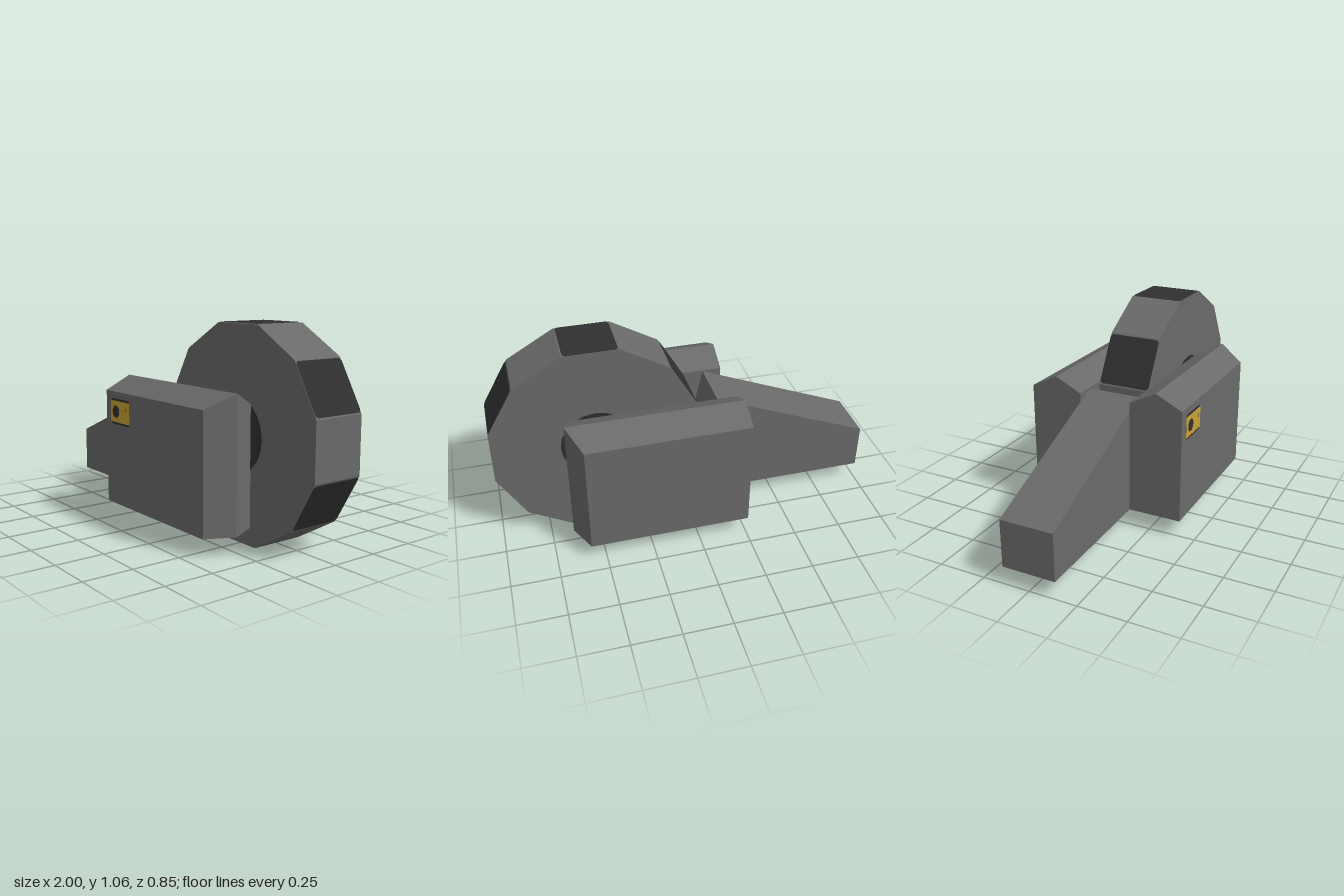
import * as THREE from 'three';

const mat = (name, color) => {
  const m = new THREE.MeshStandardMaterial({ color });
  m.name = name;
  return m;
};

// Box with a centre crease, raised along the roof and pushed out at the nose
function podGeometry() {
  const geo = new THREE.BoxGeometry(0.835, 0.595, 0.28, 1, 1, 2);
  const p = geo.attributes.position;
  for (let i = 0; i < p.count; i++) {
    if (Math.abs(p.getZ(i)) > 0.01) continue;
    if (p.getY(i) > 0) p.setY(i, p.getY(i) + 0.07);
    if (p.getX(i) > 0) p.setX(i, p.getX(i) + 0.07);
  }
  const flat = geo.toNonIndexed();
  flat.computeVertexNormals();
  return flat;
}

function roundedRect(w, h, r) {
  const s = new THREE.Shape();
  s.absarc(w / 2 - r, h / 2 - r, r, 0, Math.PI / 2);
  s.absarc(-w / 2 + r, h / 2 - r, r, Math.PI / 2, Math.PI);
  s.absarc(-w / 2 + r, -h / 2 + r, r, Math.PI, Math.PI * 1.5);
  s.absarc(w / 2 - r, -h / 2 + r, r, Math.PI * 1.5, Math.PI * 2);
  return s;
}

export function createModel() {
  const group = new THREE.Group();
  const grey = mat('body grey', 0x6a6a6a);
  const dark = mat('dark rubber', 0x303030);
  const gold = mat('gold', 0xc8a232);

  const add = (parent, name, geo, material, x = 0, y = 0, z = 0) => {
    const mesh = new THREE.Mesh(geo, material);
    mesh.name = name;
    mesh.position.set(x, y, z);
    parent.add(mesh);
    return mesh;
  };

  // Wedge-shaped tail, joining the two side pods
  const profile = new THREE.Shape([
    [-1, 0.09], [-0.03, 0.09], [-0.16, 0.68], [-1, 0.335],
  ].map(([x, y]) => new THREE.Vector2(x, y)));
  const tail = new THREE.ExtrudeGeometry(profile, { depth: 0.28, bevelEnabled: false });
  add(group, 'tail', tail, grey, 0, 0, -0.14);

  // Side pods
  const pod = podGeometry();
  add(group, 'leftPod', pod, grey, 0.1575, 0.3875, 0.28);
  add(group, 'rightPod', pod, grey, 0.1575, 0.3875, -0.28);

  // Twelve-sided wheel
  const wheel = new THREE.Group();
  wheel.name = 'wheel';
  wheel.position.set(0.472, 0.528, 0);
  group.add(wheel);
  const apothem = 0.527;
  const rim = new THREE.CylinderGeometry(0.5456, 0.5456, 0.28, 12, 1, false, Math.PI / 12);
  rim.rotateX(Math.PI / 2);
  const rimFlat = rim.toNonIndexed();
  rimFlat.computeVertexNormals();
  add(wheel, 'wheelBody', rimFlat, grey);

  // Dark tread pads on every other face of the rim
  const pad = new THREE.ShapeGeometry(roundedRect(0.28, 0.268, 0.02), 4);
  pad.rotateY(Math.PI / 2);
  for (let i = 0; i < 6; i++) {
    const a = Math.PI / 6 + i * Math.PI / 3;
    const r = apothem + 0.002;
    const tread = add(wheel, 'tread', pad, dark, Math.cos(a) * r, Math.sin(a) * r, 0);
    tread.rotation.z = a;
  }

  // Hub discs on both sides
  const hub = new THREE.CircleGeometry(0.185, 20);
  add(wheel, 'hubLeft', hub, dark, 0, 0, 0.143);
  add(wheel, 'hubRight', hub, dark, 0, 0, -0.143).rotation.y = Math.PI;

  // Small plate on the front pod
  const badge = new THREE.Group();
  badge.name = 'badge';
  badge.position.set(-0.123, 0.583, 0.42);
  group.add(badge);
  add(badge, 'badgeBacking', new THREE.ShapeGeometry(roundedRect(0.172, 0.134, 0.015), 4), dark, 0, 0, 0.002);
  add(badge, 'badgePlate', new THREE.PlaneGeometry(0.178, 0.112), gold, 0, 0, 0.004);
  add(badge, 'badgeDot', new THREE.CircleGeometry(0.033, 12), dark, -0.037, 0, 0.006);
  add(badge, 'badgeMark', new THREE.PlaneGeometry(0.007, 0.02), dark, 0.06, 0.017, 0.006);

  return group;
}
